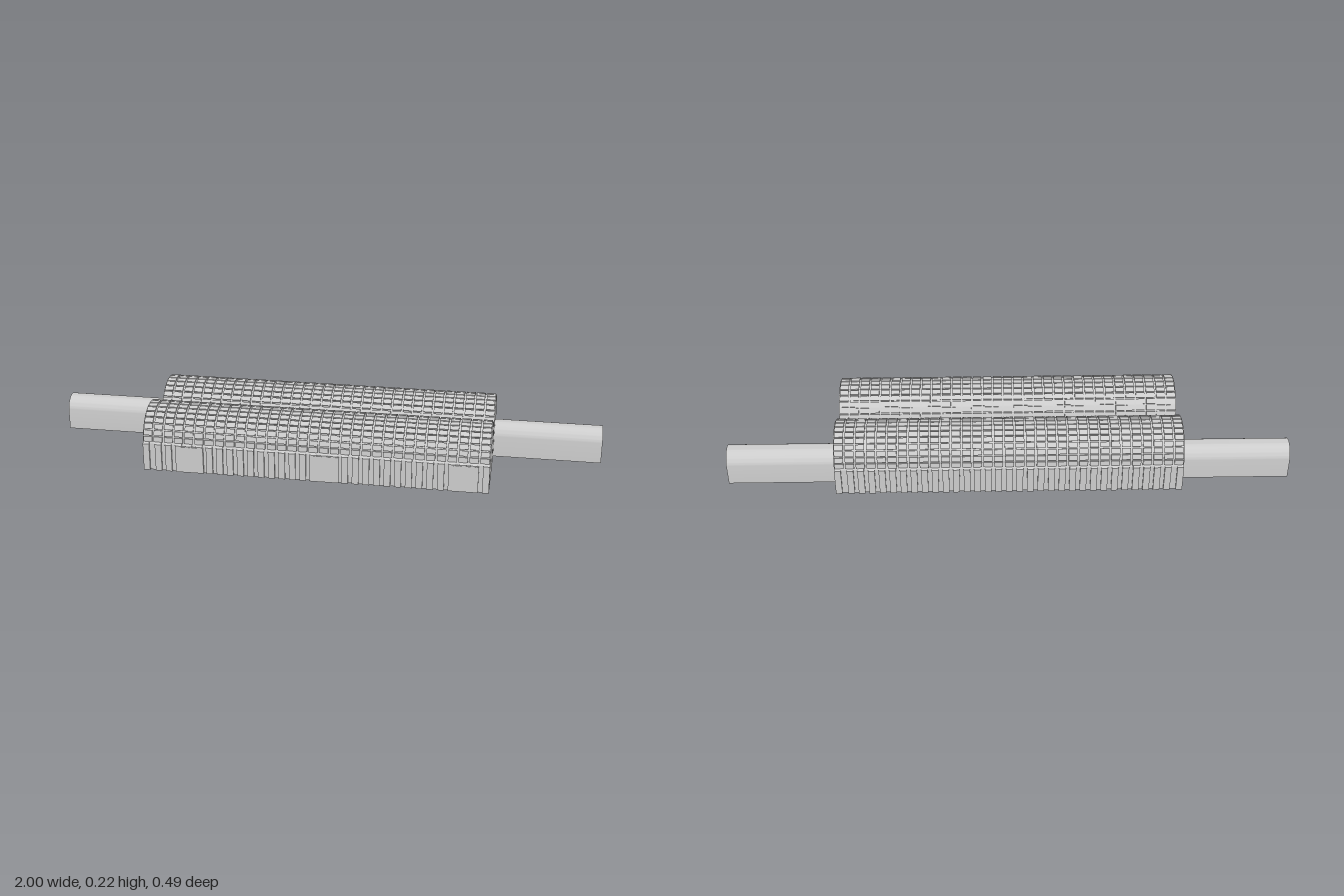
import * as THREE from 'three';
import { mergeGeometries, toCreasedNormals } from 'three/addons/utils/BufferGeometryUtils.js';

const LENGTH = 1.226, HALL_Z = 0.127;
const COLUMNS = 33, PITCH = LENGTH / COLUMNS;
const ROOF_R = 0.106, ROOF_Y = 0.106;

export function createModel() {
  const model = new THREE.Group();
  const material = new THREE.MeshStandardMaterial({ color: 0xcccccc });
  const thin = new THREE.MeshStandardMaterial({ color: 0xcccccc, side: THREE.DoubleSide });

  const add = (parent, name, geometry, mat = material) => {
    const mesh = new THREE.Mesh(geometry, mat);
    mesh.name = name;
    parent.add(mesh);
    return mesh;
  };
  const box = (w, h, d, x, y, z) => new THREE.BoxGeometry(w, h, d).translate(x, y, z);

  // Extrudes a cross-section (across, up) along x, centred on x = 0
  const alongX = (shape, length) => {
    const g = new THREE.ExtrudeGeometry(shape, { depth: length, bevelEnabled: false, curveSegments: 24 });
    g.translate(0, 0, -length / 2).rotateY(Math.PI / 2);
    return toCreasedNormals(g, 0.5);
  };

  // Round-topped outline used by the tunnel
  const arch = (target, half, bottom, spring) => {
    target.moveTo(-half, bottom);
    target.lineTo(half, bottom);
    target.lineTo(half, spring);
    target.absarc(0, spring, half, 0, Math.PI, false);
    target.lineTo(-half, bottom);
    return target;
  };

  const hallShape = () => {
    const s = new THREE.Shape();
    s.moveTo(-0.1095, 0);
    s.lineTo(0.1095, 0);
    s.lineTo(0.1095, 0.1);
    s.lineTo(ROOF_R, ROOF_Y);
    s.absarc(0, ROOF_Y, ROOF_R, 0, Math.PI, false);
    s.lineTo(-0.1095, 0.1);
    s.lineTo(-0.1095, 0);
    return s;
  };

  // Curved roof covered by a grid of raised plates
  const roofTiles = () => {
    const tiles = [], rows = 15, step = Math.PI / rows;
    for (let r = 0; r < rows; r++) {
      const angle = (r + 0.5) * step - Math.PI / 2;
      for (let c = 0; c < COLUMNS; c++) {
        const x = (c + 0.5) * PITCH - LENGTH / 2;
        const g = box(PITCH - 0.006, 0.007, 0.0185, x, ROOF_R + 0.0015, 0);
        tiles.push(g.rotateX(angle).translate(0, ROOF_Y, 0));
      }
    }
    return mergeGeometries(tiles);
  };

  // Vertical wall ribs with sloped tops, on both long sides
  const wallRibs = () => {
    const s = new THREE.Shape();
    s.moveTo(-0.116, 0);
    s.lineTo(0.116, 0);
    s.lineTo(0.116, 0.1);
    s.lineTo(0.108, 0.108);
    s.lineTo(-0.108, 0.108);
    s.lineTo(-0.116, 0.1);
    const rib = alongX(s, PITCH * 0.62), ribs = [];
    for (let c = 0; c < COLUMNS; c++) {
      const nudge = c === 0 ? -1 : c === COLUMNS - 1 ? 1 : 0;
      ribs.push(rib.clone().translate((c + 0.5) * PITCH - LENGTH / 2 + nudge * PITCH * 0.18, 0, 0));
    }
    return mergeGeometries(ribs);
  };

  // Solid front hall
  const front = new THREE.Group();
  front.name = 'frontHall';
  front.position.z = HALL_Z;
  add(front, 'hallBody', alongX(hallShape(), LENGTH));
  add(front, 'roofTiles', roofTiles());
  add(front, 'wallRibs', wallRibs());
  for (const x of [-0.444, 0.04, 0.525]) {
    add(front, 'doorPanel', box(0.1, 0.097, 0.01, x, 0.0485, 0.1115));
  }
  model.add(front);

  // Back hall, pierced by the tunnel; ribs are one-sided so the bore stays clear
  const back = new THREE.Group();
  back.name = 'backHall';
  back.position.z = -HALL_Z;
  const pierced = hallShape();
  pierced.holes.push(arch(new THREE.Path(), 0.0498, 0.003, 0.0715));
  add(back, 'hallBody', alongX(pierced, LENGTH));
  add(back, 'roofTiles', roofTiles());
  const sideRib = new THREE.Shape();
  sideRib.moveTo(0.1, 0);
  sideRib.lineTo(0.116, 0);
  sideRib.lineTo(0.116, 0.1);
  sideRib.lineTo(0.108, 0.108);
  sideRib.lineTo(0.1, 0.108);
  const rib = alongX(sideRib, PITCH * 0.62), ribs = [];
  for (let c = 0; c < COLUMNS; c++) {
    const nudge = c === 0 ? -1 : c === COLUMNS - 1 ? 1 : 0;
    const x = (c + 0.5) * PITCH - LENGTH / 2 + nudge * PITCH * 0.18;
    ribs.push(rib.clone().translate(x, 0, 0), rib.clone().rotateY(Math.PI).translate(x, 0, 0));
  }
  add(back, 'wallRibs', mergeGeometries(ribs));
  model.add(back);

  // Thin-walled tunnel running through the back hall
  const tube = arch(new THREE.Shape(), 0.051, 0, 0.0715);
  tube.holes.push(arch(new THREE.Path(), 0.0485, 0.005, 0.0715));
  add(model, 'tunnel', alongX(tube, 2), thin).position.z = -0.126;

  // Short passages joining the two halls
  for (let i = 0; i < 8; i++) {
    add(model, 'passage', box(0.105, 0.1, 0.04, (i - 3.5) * 0.15, 0.05, 0));
  }
  return model;
}
